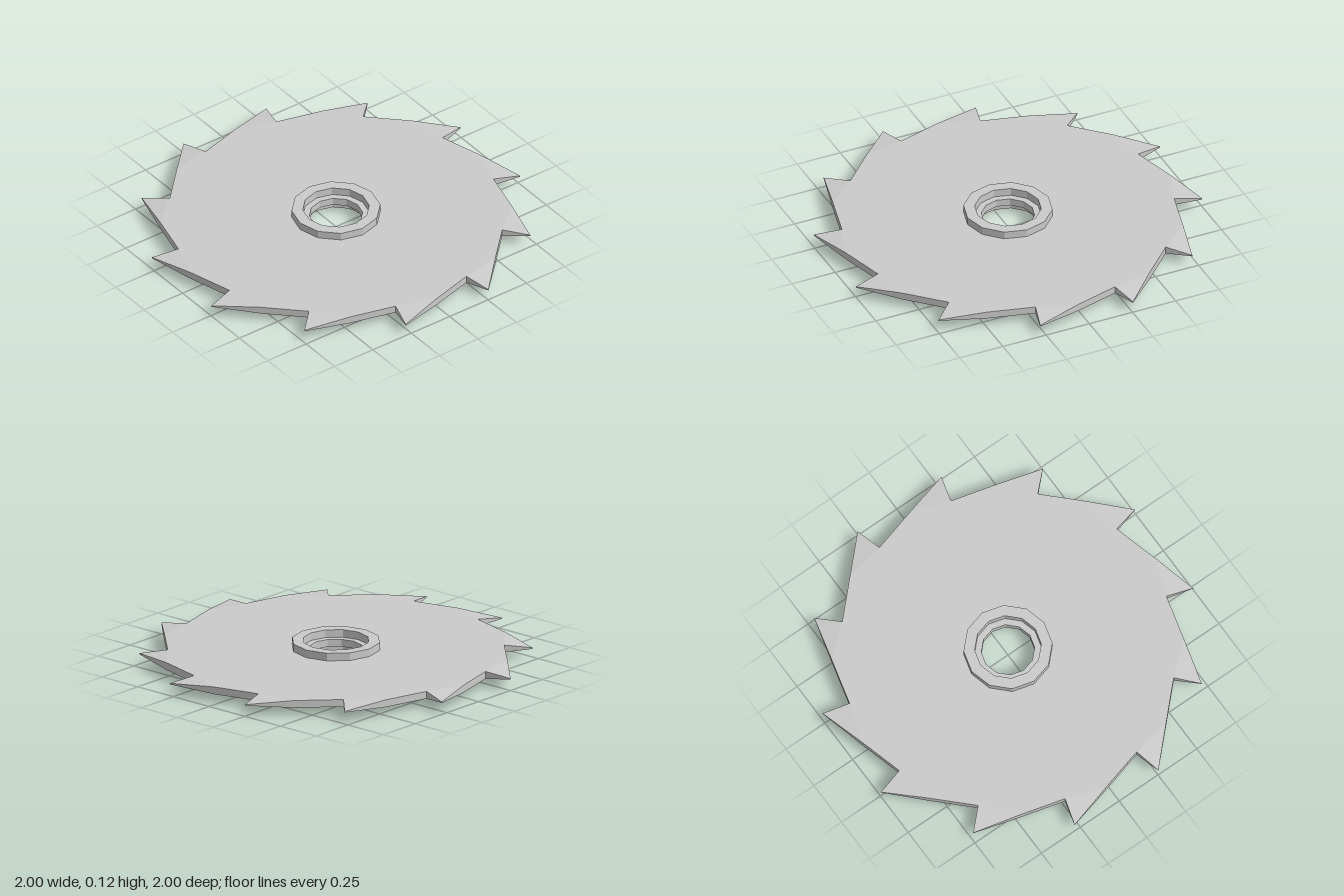
import * as THREE from 'three';

const TEETH = 12, STEP = (Math.PI * 2) / TEETH, START = THREE.MathUtils.degToRad(14.2);
const TIP_R = 1.031, VALLEY_R = 0.882, BORE_R = 0.14;
const MID_Y = 0.062, HALF = 0.02, TIP_HALF = 0.003;
const TOP = MID_Y + HALF, BOTTOM = MID_Y - HALF, HUB_TOP = 0.124;

const polar = (r, a) => new THREE.Vector2(r * Math.cos(a), r * Math.sin(a));

// Corners of tooth k: valley, tip and the point where the bevel meets the rim
function toothCorners(k) {
  const a = START + k * STEP;
  const valley = polar(VALLEY_R, a), tip = polar(TIP_R, a);
  const shoulder = tip.clone().lerp(polar(VALLEY_R, a + STEP), 0.5);
  return { valley, tip, shoulder, next: polar(VALLEY_R, a + STEP) };
}

function lathe(profile, name, material) {
  const points = profile.map(([r, y]) => new THREE.Vector2(r, y));
  const mesh = new THREE.Mesh(new THREE.LatheGeometry(points, 12), material);
  mesh.name = name;
  return mesh;
}

// One flat side of the blade, with the bore cut out
function bladeFace(up) {
  const outline = [];
  for (let k = 0; k < TEETH; k++) {
    const { valley, shoulder } = toothCorners(k);
    outline.push(valley, shoulder);
  }
  const shape = new THREE.Shape(outline);
  const bore = [];
  for (let i = 0; i < 12; i++) bore.push(polar(BORE_R, -i * Math.PI / 6));
  shape.holes.push(new THREE.Path(bore));
  const geometry = new THREE.ShapeGeometry(shape);
  if (!up) {
    const index = geometry.index;
    for (let i = 0; i < index.count; i += 3) {
      const b = index.getX(i + 1);
      index.setX(i + 1, index.getX(i + 2));
      index.setX(i + 2, b);
    }
  }
  geometry.rotateX(-Math.PI / 2).translate(0, up ? TOP : BOTTOM, 0);
  geometry.computeVertexNormals();
  return geometry;
}

// Bevelled teeth thinning to the tip, together with the rim between them
function teethGeometry() {
  const positions = [];
  const at = (p, half) => [p.x, MID_Y + half, -p.y];
  const tri = (a, b, c) => positions.push(...a, ...b, ...c);
  const wall = (p, hp, q, hq) => {
    tri(at(p, -hp), at(q, -hq), at(q, hq));
    tri(at(p, -hp), at(q, hq), at(p, hp));
  };
  for (let k = 0; k < TEETH; k++) {
    const { valley, tip, shoulder, next } = toothCorners(k);
    tri(at(valley, HALF), at(tip, TIP_HALF), at(shoulder, HALF));
    tri(at(valley, -HALF), at(shoulder, -HALF), at(tip, -TIP_HALF));
    wall(valley, HALF, tip, TIP_HALF);
    wall(tip, TIP_HALF, shoulder, HALF);
    wall(shoulder, HALF, next, HALF);
  }
  const geometry = new THREE.BufferGeometry();
  geometry.setAttribute('position', new THREE.Float32BufferAttribute(positions, 3));
  geometry.computeVertexNormals();
  return geometry;
}

export function createModel() {
  const material = new THREE.MeshStandardMaterial({ color: 0xcccccc, flatShading: true });
  const model = new THREE.Group();
  model.name = 'sawBlade';

  const add = (geometry, name) => {
    const mesh = new THREE.Mesh(geometry, material);
    mesh.name = name;
    model.add(mesh);
  };
  add(bladeFace(true), 'bladeTop');
  add(bladeFace(false), 'bladeBottom');
  add(teethGeometry(), 'teeth');

  // Collars above and below the blade, and the wall of the narrower bore
  const outer = 0.234, inner = 0.175;
  model.add(
    lathe([[outer, TOP], [outer, HUB_TOP], [inner, HUB_TOP], [inner, TOP]], 'upperCollar', material),
    lathe([[inner, BOTTOM], [inner, 0], [outer, 0], [outer, BOTTOM]], 'lowerCollar', material),
    lathe([[BORE_R, TOP], [BORE_R, BOTTOM]], 'boreWall', material)
  );
  return model;
}
